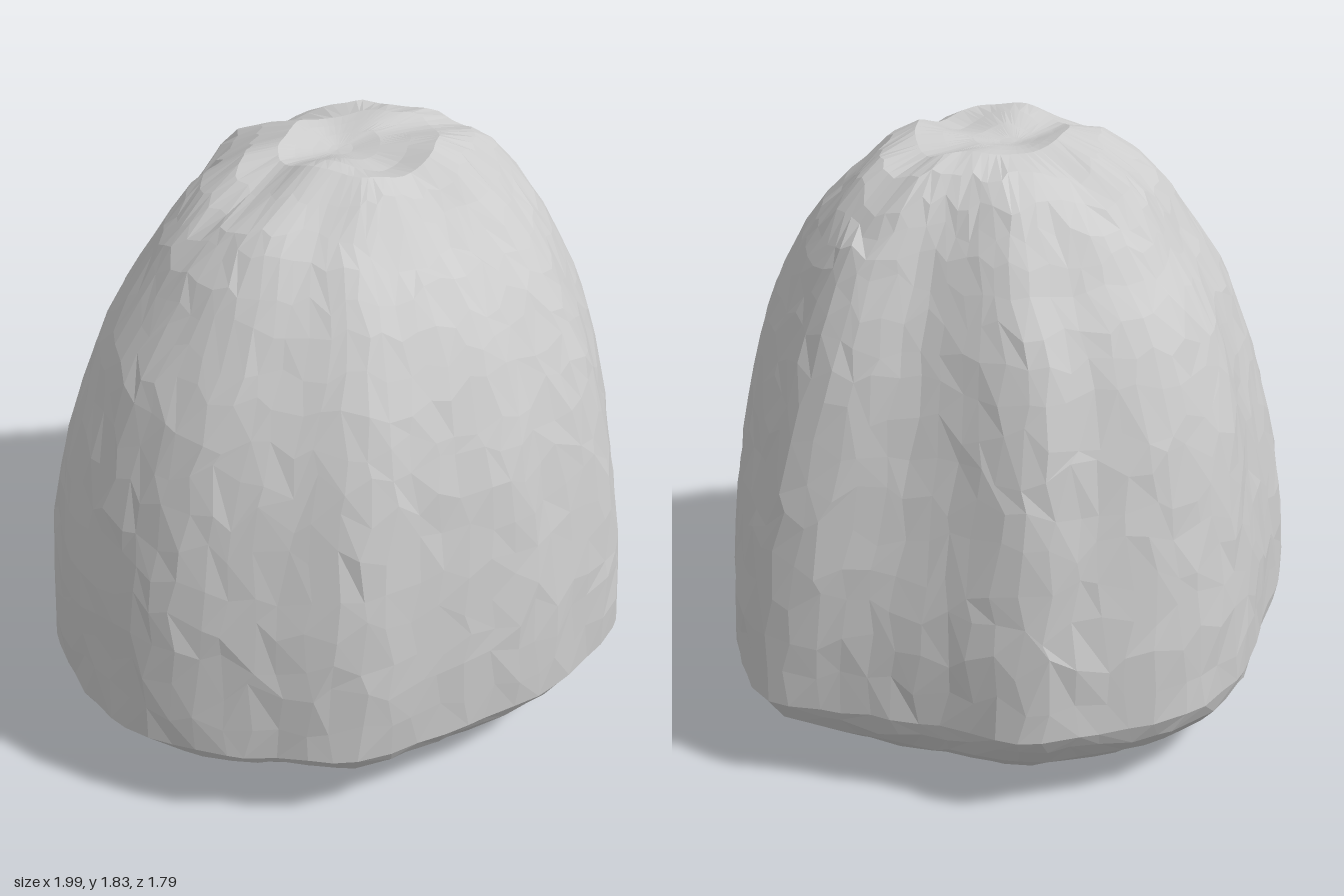
import * as THREE from 'three';

// Plan outline (x, z) at the widest level, running from the +x tip towards +z
const OUTLINE = [
  [1, 0.03], [0.93, 0.22], [0.8, 0.42], [0.66, 0.62], [0.52, 0.78], [0.3, 0.85], [0.1, 0.89],
  [-0.1, 0.88], [-0.28, 0.85], [-0.5, 0.81], [-0.7, 0.65], [-0.9, 0.45], [-0.98, 0.25],
  [-1, 0.08], [-0.95, -0.15], [-0.87, -0.33], [-0.72, -0.51], [-0.52, -0.63], [-0.36, -0.74],
  [-0.2, -0.84], [0, -0.89], [0.2, -0.88], [0.4, -0.8], [0.58, -0.7], [0.72, -0.45],
  [0.85, -0.25], [0.96, -0.1],
];

// Height, then reach towards +x, -x, +z and -z
const LEVELS = [
  [0, 0.57, 0.6, 0.61, 0.58], [0.09, 0.79, 0.8, 0.73, 0.76], [0.19, 0.94, 0.94, 0.84, 0.86],
  [0.265, 0.995, 1, 0.89, 0.89], [0.5, 0.985, 0.99, 0.89, 0.885], [0.7, 0.95, 0.97, 0.875, 0.86],
  [0.9, 0.9, 0.925, 0.845, 0.83], [1.1, 0.84, 0.86, 0.81, 0.79], [1.3, 0.77, 0.775, 0.74, 0.72],
  [1.4, 0.72, 0.7, 0.69, 0.67], [1.5, 0.67, 0.63, 0.63, 0.58], [1.6, 0.61, 0.56, 0.54, 0.51],
  [1.7, 0.53, 0.46, 0.42, 0.43], [1.77, 0.44, 0.32, 0.35, 0.3], [1.815, 0.31, 0.2, 0.28, 0.16],
];

// Ring heights, and how far the points of a ring may stray from its height
const RINGS = [
  [0, 0], [0.07, 0.03], [0.14, 0.04], [0.21, 0.04], [0.265, 0.012], [0.38, 0.06], [0.5, 0.08],
  [0.61, 0.08], [0.72, 0.08], [0.83, 0.08], [0.94, 0.08], [1.05, 0.08], [1.15, 0.08], [1.25, 0.07],
  [1.34, 0.06], [1.43, 0.06], [1.51, 0.05], [1.58, 0.04], [1.65, 0.04], [1.71, 0.03], [1.77, 0.02],
  [1.815, 0],
];

const SIDES = 72;

// Repeatable value from -0.5 to 0.5 for a grid point
function jitter(i, j) {
  const s = Math.sin(i * 127.1 + j * 311.7) * 43758.5453;
  return s - Math.floor(s) - 0.5;
}

const bump = (d, width) => Math.exp(-(d * d) / (width * width));

// Reach in the four directions at any height
function reachAt(y) {
  const k = Math.max(1, LEVELS.findIndex((l) => l[0] >= y));
  const a = LEVELS[k - 1], b = LEVELS[k];
  const t = (y - a[0]) / (b[0] - a[0]);
  return a.slice(1).map((v, n) => THREE.MathUtils.lerp(v, b[n + 1], t));
}

// Knobs and shallow notches across the crown
function crownRelief(x, z) {
  return 0.014 * Math.sin(x * 15 + z * 6) * Math.cos(z * 17 - x * 5)
    - 0.025 * bump(x - 0.04, 0.09) - 0.025 * bump(z - 0.02, 0.08);
}

function rockGeometry() {
  const curve = new THREE.CatmullRomCurve3(OUTLINE.map(([x, z]) => new THREE.Vector3(x, 0, z / 0.89)), true);

  const grid = RINGS.map(([level, stray], i) => Array.from({ length: SIDES }, (_, j) => {
    const y = level + stray * jitter(i + 31, j);
    const [px, nx, pz, nz] = reachAt(y);
    const p = curve.getPointAt((j + 0.5 + 0.5 * jitter(i, j)) / SIDES);
    const angle = Math.atan2(p.z, p.x);
    const upper = THREE.MathUtils.smoothstep(y, 0.5, 1.5);

    // The foot is rounder than the body, and so is the upper front left
    const foot = THREE.MathUtils.clamp(1 - y / 0.25, 0, 1) * 0.8;
    const round = Math.max(foot, 0.75 * upper * bump(angle - 0.5, 0.45));
    const len = Math.hypot(p.x, p.z);
    const ux = THREE.MathUtils.lerp(p.x, p.x / len, round);
    const uz = THREE.MathUtils.lerp(p.z, p.z / len, round);

    // Upright flutes that deepen near the top
    const flutes = 0.04 * bump(angle + 0.42, 0.15) + 0.025 * bump(angle + 1.15, 0.12)
      + 0.02 * bump(angle - 1.4, 0.12) + 0.05 * bump(angle + 2.4, 0.4);
    const waves = Math.sin(angle * 11 + y * 3 + 2 * Math.sin(y * 3 + angle * 2));
    const scale = 1 + (i > 0 ? 0.005 * waves + 0.01 * jitter(i + 7, j) - upper * flutes : 0);
    const x = ux * (ux > 0 ? px : nx) * scale;
    const z = uz * (uz > 0 ? pz : nz) * scale;
    return [x, y + (y > 1.62 ? crownRelief(x, z) : 0), z];
  }));

  // Inner rings close the crown; a fan closes the flat base
  const rim = grid[grid.length - 1];
  for (const f of [0.72, 0.42, 0.15, 0]) {
    grid.push(rim.map(([x, , z]) => [x * f, 1.815 + crownRelief(x * f, z * f), z * f]));
  }
  grid.unshift(grid[0].map(() => [0, 0, 0]));

  const positions = [];
  const addFace = (...corners) => corners.forEach((c) => positions.push(...c));
  for (let i = 0; i < grid.length - 1; i++) {
    for (let j = 0; j < SIDES; j++) {
      const n = (j + 1) % SIDES;
      const a = grid[i][j], b = grid[i][n], c = grid[i + 1][n], d = grid[i + 1][j];
      if (i === 0) addFace(a, d, c);
      else if (i === grid.length - 2) addFace(a, d, b);
      else if (jitter(i, j + 90) > 0) { addFace(a, d, b); addFace(b, d, c); }
      else { addFace(a, d, c); addFace(a, c, b); }
    }
  }
  const geometry = new THREE.BufferGeometry();
  geometry.setAttribute('position', new THREE.Float32BufferAttribute(positions, 3));
  geometry.computeVertexNormals();
  return geometry;
}

export function createModel() {
  const stone = new THREE.MeshStandardMaterial({ color: 0xcccccc });
  stone.name = 'stone grey';
  stone.flatShading = true;
  const boulder = new THREE.Mesh(rockGeometry(), stone);
  boulder.name = 'boulder';
  const group = new THREE.Group();
  group.name = 'rock';
  group.add(boulder);
  return group;
}
